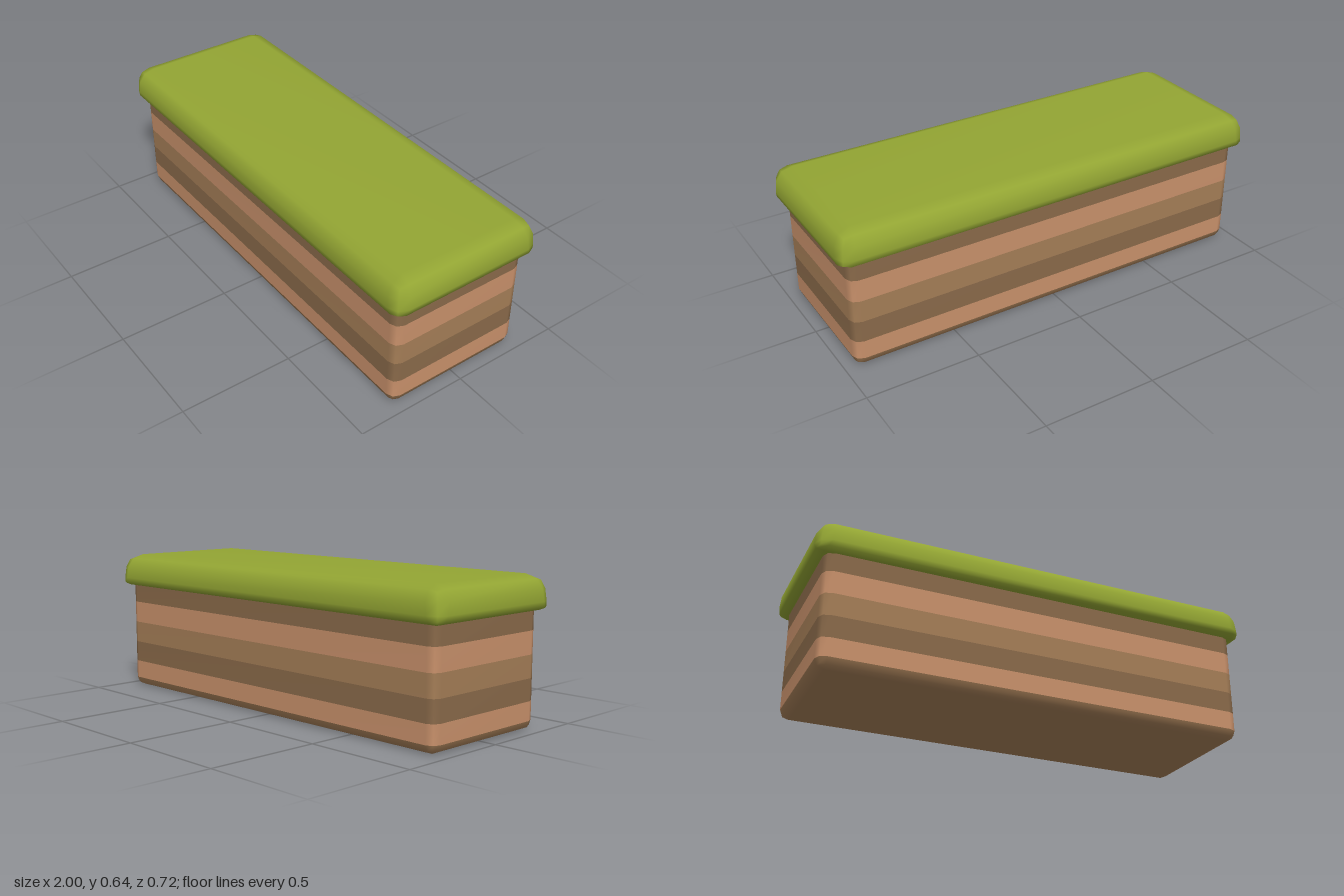
import * as THREE from 'three';
import { mergeVertices } from 'three/addons/utils/BufferGeometryUtils.js';
import { RoundedBoxGeometry } from 'three/addons/geometries/RoundedBoxGeometry.js';

const HX = 0.957, HZ = 0.32, R = 0.04; // soil half sizes and bevel
const SALMON = 0xc9916b, TAN = 0xa57e57, BROWN = 0x8a6a4a, GREEN = 0x93a533;

// Weld the vertices and give them shared smooth normals
function smooth(geometry) {
  geometry.deleteAttribute('uv');
  geometry.deleteAttribute('normal');
  const welded = mergeVertices(geometry, 1e-4);
  welded.computeVertexNormals();
  return welded;
}

function part(name, geometry, color) {
  const mesh = new THREE.Mesh(geometry, new THREE.MeshStandardMaterial({ color }));
  mesh.name = name;
  return mesh;
}

// Open wall between two heights, on a rectangle with two-step bevelled corners
function bandGeometry(y0, y1) {
  const g = new THREE.CylinderGeometry(1, 1, y1 - y0, 12, 1, true);
  const p = g.attributes.position;
  for (let v = 0; v < p.count; v++) {
    const i = (v % 13) % 12, q = Math.floor(i / 3);
    const a = (q * 2 + (i % 3)) * Math.PI / 4;
    const sx = q < 2 ? 1 : -1, sz = q === 0 || q === 3 ? 1 : -1;
    p.setXYZ(v, sx * (HX - R) + R * Math.sin(a), p.getY(v) + (y0 + y1) / 2, sz * (HZ - R) + R * Math.cos(a));
  }
  return smooth(g);
}

// Bevelled underside: the lowest part of a rounded box
function baseGeometry() {
  const box = new RoundedBoxGeometry(HX * 2, 0.5, HZ * 2, 1, R).translate(0, 0.25, 0);
  const src = box.index ? box.toNonIndexed() : box;
  const p = src.attributes.position, kept = [];
  for (let t = 0; t < p.count; t += 3) {
    const tri = [t, t + 1, t + 2];
    if (tri.every(v => p.getY(v) < R + 1e-4))
      tri.forEach(v => kept.push(p.getX(v), p.getY(v), p.getZ(v)));
  }
  const g = new THREE.BufferGeometry();
  g.setAttribute('position', new THREE.Float32BufferAttribute(kept, 3));
  return smooth(g);
}

// Grass slab: tapered towards the top, with a tight lower lip
function grassGeometry() {
  const r = 0.06, h = 0.0725, side = h - r;
  const g = new RoundedBoxGeometry(2, h * 2, 0.716, 1, r);
  const p = g.attributes.position;
  for (let v = 0; v < p.count; v++) {
    const x = p.getX(v), y = p.getY(v), z = p.getZ(v);
    const t = Math.max(0, (Math.abs(y) - side) / r);
    const push = y < 0 ? 0.025 * t * t : -0.005 - 0.015 * t * t;
    const newY = y < 0 ? 0.53 - 0.037 * t : 0.58 + r * t;
    p.setXYZ(v, x + Math.sign(x) * push, newY, z + Math.sign(z) * push);
  }
  return smooth(g);
}

export function createModel() {
  const model = new THREE.Group();
  model.name = 'grassBlock';

  // Striped soil
  const soil = new THREE.Group();
  soil.name = 'soil';
  soil.add(part('soilBase', baseGeometry(), TAN));
  const heights = [0.04, 0.122, 0.217, 0.314, 0.412, 0.51];
  [SALMON, BROWN, TAN, SALMON, BROWN].forEach((color, i) =>
    soil.add(part('soilBand' + (i + 1), bandGeometry(heights[i], heights[i + 1]), color)));
  model.add(soil);

  // Grass on top
  model.add(part('grassTop', grassGeometry(), GREEN));
  return model;
}
